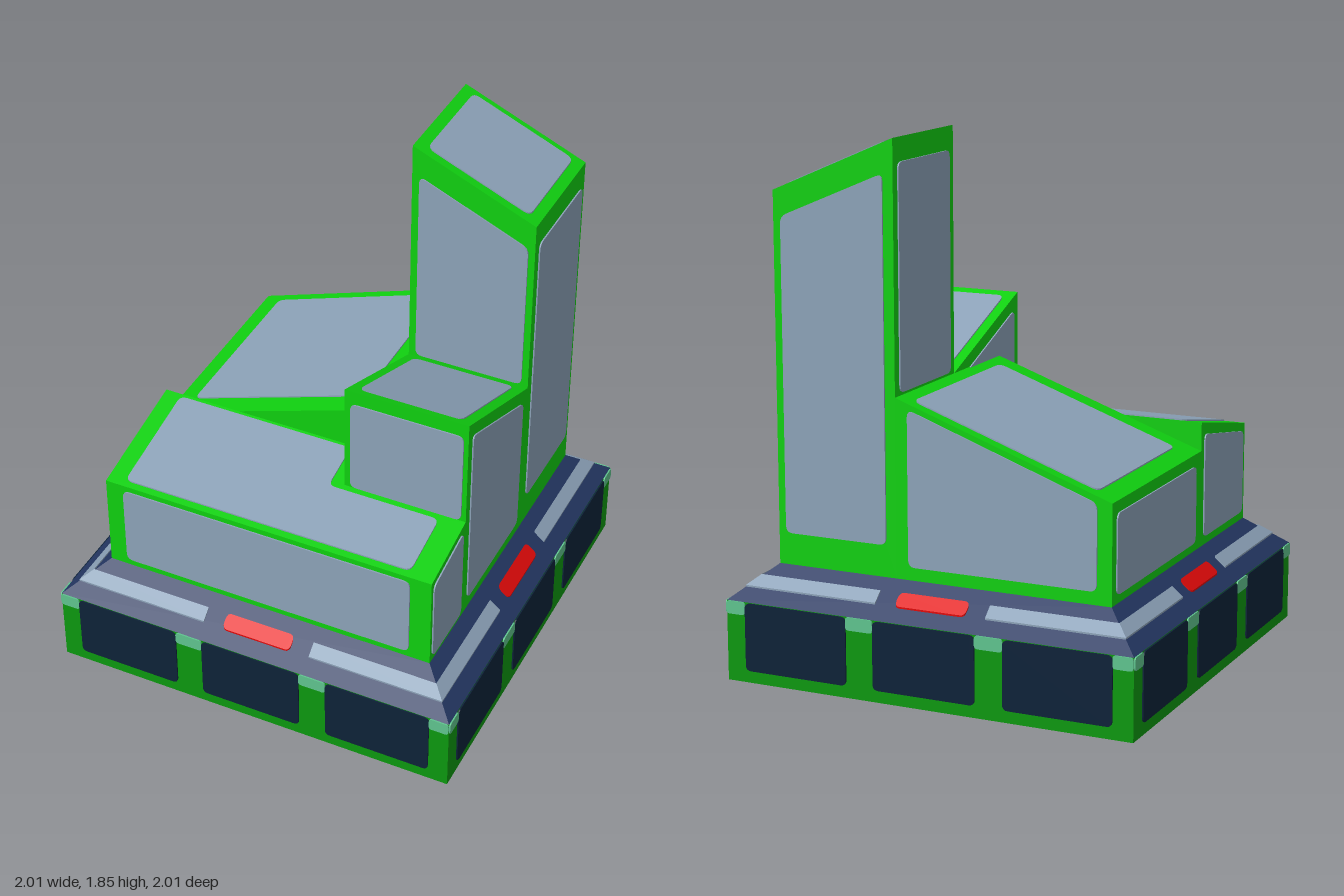
import * as THREE from 'three';

const mat = (name, hex) => {
  const m = new THREE.MeshStandardMaterial({ color: hex });
  m.name = name;
  return m;
};

// Closed outline with optionally rounded corners
function outline(pts, r) {
  const s = new THREE.Shape();
  const v = pts.map(([x, y]) => new THREE.Vector2(x, y));
  v.forEach((p, i) => {
    const toward = (q) => {
      const d = q.clone().sub(p);
      return p.clone().add(d.setLength(Math.min(r, d.length() * 0.45)));
    };
    const a = toward(v[(i + v.length - 1) % v.length]);
    const b = toward(v[(i + 1) % v.length]);
    if (i === 0) s.moveTo(a.x, a.y); else s.lineTo(a.x, a.y);
    if (r > 0) { s.quadraticCurveTo(p.x, p.y, b.x, b.y); }
  });
  s.closePath();
  return s;
}

const rect = (x0, x1, y0, y1) => [[x0, y0], [x1, y0], [x1, y1], [x0, y1]];

// Solid over a plan outline (x, z), between two height rules
function prism(pts, bottom, top, r = 0) {
  const shape = outline(pts.map(([x, z]) => [x, -z]), r);
  const g = new THREE.ExtrudeGeometry(shape, { depth: 1, bevelEnabled: false, curveSegments: 4 });
  g.rotateX(-Math.PI / 2);
  const p = g.attributes.position;
  for (let i = 0; i < p.count; i++) {
    const rule = p.getY(i) > 0.5 ? top : bottom;
    p.setY(i, rule(p.getX(i), p.getZ(i)));
  }
  g.computeVertexNormals();
  return g;
}

export function createModel() {
  const green = mat('bright green', 0x10d010);
  const darkGreen = mat('dark green', 0x0c980f);
  const glass = mat('blue grey glass', 0x8ca2b8);
  const navy = mat('navy', 0x243763);
  const dark = mat('dark navy', 0x0d2238);
  const red = mat('red', 0xe00a0a);
  const mint = mat('mint', 0x5fc48e);

  const model = new THREE.Group();
  model.name = 'towerBlockOnPlinth';
  const body = new THREE.Group();
  body.name = 'body';
  body.rotation.y = Math.atan2(0.7, 1.3);
  model.add(body);

  const add = (name, geo, material, parent = body) => {
    const m = new THREE.Mesh(geo, material);
    m.name = name;
    parent.add(m);
    return m;
  };

  // Thin plate on a vertical wall; points are (x or z along the wall, y)
  const T = 0.005;
  const sides = { front: [0, 1], right: [Math.PI / 2, -1], back: [Math.PI, -1], left: [-Math.PI / 2, 1] };
  function wallPlate(name, side, dist, pts, material, r = 0.025, parent = body) {
    const [angle, sign] = sides[side];
    const shape = outline(pts.map(([u, y]) => [u * sign, y]), r);
    const g = new THREE.ExtrudeGeometry(shape, { depth: T, bevelEnabled: false, curveSegments: 4 });
    g.translate(0, 0, dist);
    g.rotateY(angle);
    return add(name, g, material, parent);
  }

  // Plinth
  const H = 0.738, I = 0.606, Y0 = 0.28, Y1 = 0.39;
  add('plinth', new THREE.BoxGeometry(2 * H, Y0, 2 * H).translate(0, Y0 / 2, 0), darkGreen);
  const under = add('undersidePlate', new THREE.BoxGeometry(0.94, T, 0.94), dark);
  under.position.y = -T / 2 + 0.001;

  // Sloped skirt above the plinth
  const skirt = new THREE.CylinderGeometry(I * Math.SQRT2, H * Math.SQRT2, Y1 - Y0, 4)
    .rotateY(Math.PI / 4).translate(0, (Y0 + Y1) / 2, 0).toNonIndexed();
  skirt.computeVertexNormals();
  add('skirt', skirt, navy);

  // Plinth windows, pillar caps and skirt lights, repeated on four sides
  const slope = (x, z) => Y0 + (Y1 - Y0) * (H - z) / (H - I);
  const raised = (x, z) => slope(x, z) + 0.006;
  for (let k = 0; k < 4; k++) {
    const side = new THREE.Group();
    side.name = 'plinthSide';
    side.rotation.y = k * Math.PI / 2;
    body.add(side);
    for (const [a, b] of [[-0.667, -0.285], [-0.185, 0.185], [0.285, 0.667]])
      wallPlate('plinthWindow', 'front', H, rect(a, b, 0.042, 0.278), dark, 0.02, side);
    for (const [a, b] of [[-0.738, -0.667], [-0.285, -0.185], [0.185, 0.285], [0.667, 0.738]])
      wallPlate('pillarCap', 'front', H, rect(a, b, 0.235, 0.28), mint, 0.012, side);
    add('redLight', prism(rect(-0.128, 0.128, 0.65, 0.693), slope, raised, 0.018), red, side);
    for (const s of [-1, 1]) {
      const strip = [[s * 0.2, 0.652], [s * 0.652, 0.652], [s * 0.691, 0.691], [s * 0.2, 0.691]];
      add('lightStrip', prism(strip, slope, raised, 0.001), glass, side);
    }
  }

  // Roof height rules
  const hBig = (x, z) => 1.0 + (z - 0.163) * 0.27 / 0.769;
  const hMid = (x) => 1.2 - (x + 0.336) * 0.2 / 0.51;
  const hLow = (x) => 0.74 + (x + 0.606) * 0.09 / 0.432;
  const hTall = (x, z) => 1.845 - (z - 0.163) * 0.19 / 0.443;
  const floor = () => Y1;

  // Four blocks with slanted roofs, each with a glass roof panel
  const blocks = [
    ['rearBlock', rect(-0.174, I, -I, 0.163), hBig, rect(-0.09, 0.565, -0.54, 0.115)],
    ['middleBlock', rect(-0.336, 0.174, 0.163, I), hMid, rect(-0.3, 0.14, 0.2, 0.567)],
    ['tallBlock', rect(0.174, I, 0.163, I), hTall, rect(0.205, 0.58, 0.203, 0.57)],
    ['lowBlock', [[-I, -I], [-0.174, -I], [-0.174, 0.163], [-0.336, 0.163], [-0.336, I], [-I, I]], hLow,
      [[-0.583, -0.542], [-0.188, -0.542], [-0.188, 0.115], [-0.36, 0.115], [-0.36, 0.52], [-0.583, 0.52]]],
  ];
  for (const [name, plan, h, pane] of blocks) {
    add(name, prism(plan, floor, h), green);
    add(name + 'RoofGlass', prism(pane, h, (x, z) => h(x, z) + 0.005, 0.025), glass);
  }

  // Wall glass: side, distance, start, end, bottom, top at start, top at end
  const panes = [
    ['tallFrontGlass', 'front', I, 0.207, 0.583, 0.5, 1.57, 1.57],
    ['middleFrontGlass', 'front', I, -0.305, 0.13, 0.435, 1.14, 0.965],
    ['lowFrontGlass', 'front', I, -0.592, -0.358, 0.41, 0.72, 0.768],
    ['lowLeftGlass', 'left', I, -0.54, 0.53, 0.415, 0.72, 0.72],
    ['tallRightGlass', 'right', I, 0.2, 0.578, 0.5, 1.73, 1.57],
    ['rearRightGlass', 'right', I, -0.555, 0.118, 0.435, 0.725, 0.965],
    ['rearBackGlass', 'back', I, -0.12, 0.572, 0.42, 0.69, 0.69],
    ['lowBackGlass', 'back', I, -0.583, -0.2, 0.42, 0.715, 0.785],
    ['middleLeftGlass', 'left', 0.336, 0.185, 0.59, 0.8, 1.15, 1.15],
    ['middleBackGlass', 'back', -0.163, -0.3, 0.13, 0.83, 1.14, 0.97],
    ['tallLeftGlass', 'left', -0.174, 0.19, 0.583, 1.01, 1.735, 1.565],
    ['tallBackGlass', 'back', -0.163, 0.207, 0.575, 1.01, 1.765, 1.765],
  ];
  for (const [name, side, d, a, b, y, ya, yb] of panes)
    wallPlate(name, side, d, [[a, y], [b, y], [b, yb], [a, ya]], glass);

  return model;
}
